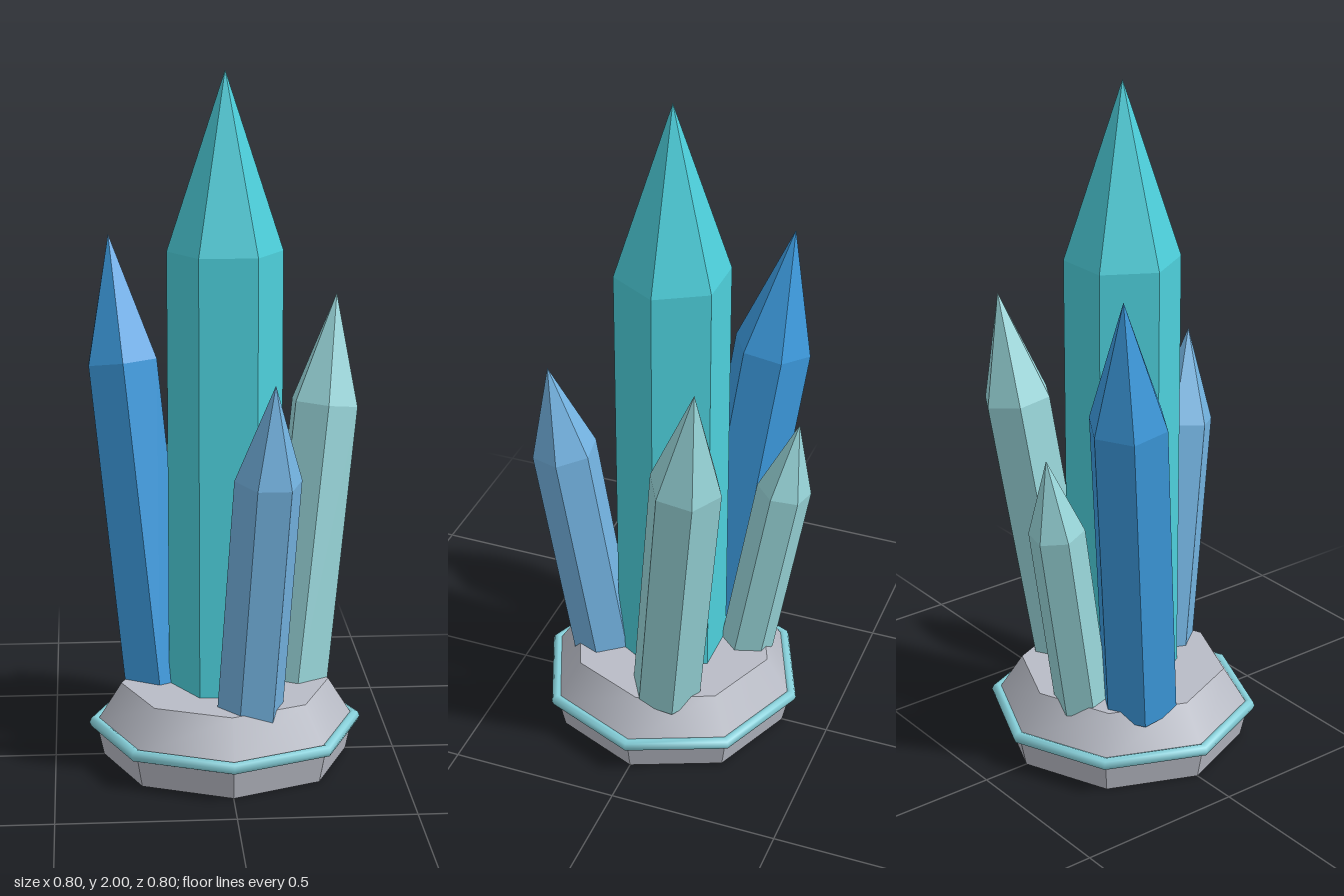
import * as THREE from 'three';
import { mergeGeometries } from 'three/addons/utils/BufferGeometryUtils.js';

const material = (name, color) => {
  const m = new THREE.MeshStandardMaterial({ color });
  m.name = name;
  return m;
};

// Separate the faces so that each one is flat
function faceted(geometry) {
  const g = geometry.toNonIndexed();
  g.computeVertexNormals();
  return g;
}

// Six-sided crystal from its base centre to its tip; the point takes 28% of the length
function crystal(name, mat, radius, yawDegrees, base, tip) {
  const from = new THREE.Vector3(...base);
  const axis = new THREE.Vector3(...tip).sub(from);
  const length = axis.length();
  const shaftLength = length * 0.72;
  const pointLength = length - shaftLength;

  // Shaft without its top cap, which the point covers
  const shaft = new THREE.CylinderGeometry(radius, radius, shaftLength, 6, 1, true)
    .translate(0, shaftLength / 2, 0);
  const point = new THREE.ConeGeometry(radius, pointLength, 6, 1, true)
    .translate(0, shaftLength + pointLength / 2, 0);
  const foot = new THREE.CircleGeometry(radius, 6)
    .rotateZ(Math.PI / 6)
    .rotateX(Math.PI / 2);
  const geometry = faceted(mergeGeometries([shaft, point, foot]));
  geometry.rotateY(THREE.MathUtils.degToRad(yawDegrees));

  const mesh = new THREE.Mesh(geometry, mat);
  mesh.name = name;
  mesh.position.copy(from);
  mesh.quaternion.setFromUnitVectors(new THREE.Vector3(0, 1, 0), axis.normalize());
  return mesh;
}

export function createModel() {
  const model = new THREE.Group();
  model.name = 'crystalCluster';

  const stone = material('stone grey', 0xb9bcc6);
  const trim = material('trim cyan', 0x86d0da);
  const teal = material('teal', 0x4dd0dc);
  const blue = material('deep blue', 0x3d9ce0);
  const sky = material('sky blue', 0x74b4e2);
  const pale = material('pale aqua', 0x9ad8dc);

  const add = (name, geometry, mat, y) => {
    const mesh = new THREE.Mesh(geometry, mat);
    mesh.name = name;
    mesh.position.y = y;
    model.add(mesh);
  };

  // Octagonal base: faceted foot, smooth sloping shoulder and trim ring
  add('baseFoot', faceted(new THREE.CylinderGeometry(0.38, 0.358, 0.1, 8)), stone, 0.05);
  add('baseShoulder', new THREE.CylinderGeometry(0.305, 0.38, 0.12, 8), stone, 0.16);
  add('baseRing', new THREE.TorusGeometry(0.382, 0.018, 8, 8).rotateX(Math.PI / 2), trim, 0.1);

  // Upright centre crystal with four leaning outwards around it
  model.add(
    crystal('centreCrystal', teal, 0.165, 30, [0, 0.2, 0], [0, 2, 0]),
    crystal('backRightCrystal', blue, 0.115, 0, [-0.192, 0.2, -0.085], [-0.325, 1.51, -0.248]),
    crystal('leftCrystal', pale, 0.105, 0, [0.21, 0.2, -0.06], [0.34, 1.34, -0.19]),
    crystal('frontCrystal', sky, 0.096, 38, [0.058, 0.2, 0.2], [0.115, 1.18, 0.335]),
    crystal('backCrystal', pale, 0.08, 18, [-0.083, 0.2, -0.212], [-0.107, 1.01, -0.347]),
  );
  return model;
}
